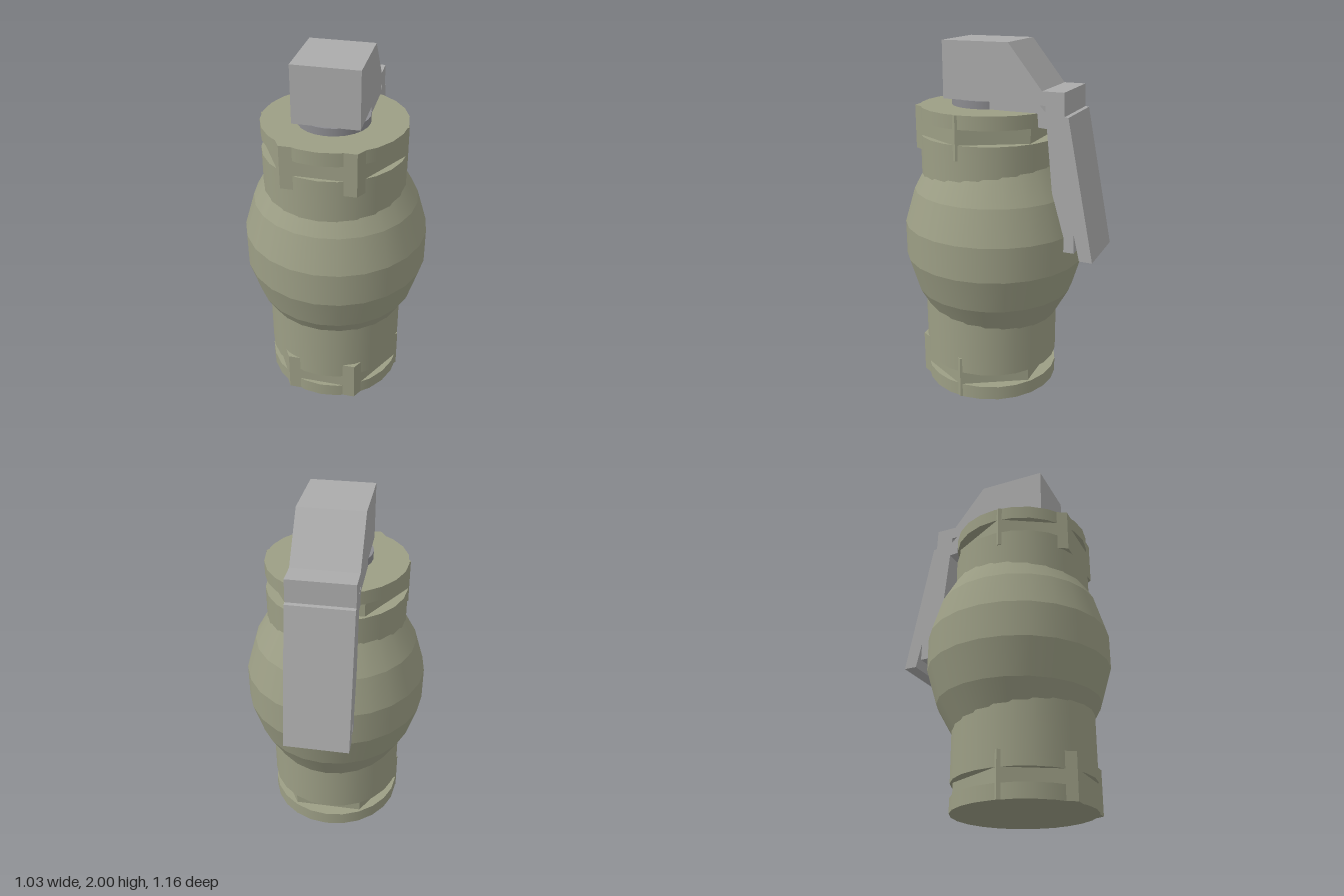
import * as THREE from 'three';

export function createModel() {
  const model = new THREE.Group();
  const material = (name, color) => {
    const m = new THREE.MeshStandardMaterial({ color });
    m.name = name;
    return m;
  };
  const olive = material('olive paint', 0x9c9e85);
  const steel = material('light steel', 0xababab);
  const darkSteel = material('dark steel', 0x8c8c90);

  const add = (name, geometry, mat) => {
    const mesh = new THREE.Mesh(geometry, mat);
    mesh.name = name;
    model.add(mesh);
    return mesh;
  };
  // Upright ring or drum between two heights
  const drum = (name, y0, y1, r0, r1, z, mat, sides = 24, open = false, start = 0) => {
    let g = new THREE.CylinderGeometry(r1, r0, y1 - y0, sides, 1, open, start);
    if (sides < 12) {
      g = g.toNonIndexed();
      g.computeVertexNormals();
    }
    return add(name, g.translate(0, (y0 + y1) / 2, z), mat);
  };

  // Straight body and its two end plates, separated by grooves
  const bodyZ = 0.09, bodyR = 0.39;
  drum('bottomPlate', 0, 0.08, bodyR, bodyR, bodyZ, olive);
  drum('bodyTube', 0.157, 1.49, bodyR, bodyR, bodyZ, olive);
  drum('topPlate', 1.573, 1.648, bodyR, bodyR, bodyZ, olive);

  // Hexagonal cores fill the grooves; their corners show as ribs
  drum('bottomHexCore', 0, 0.245, 0.395, 0.395, 0.113, olive, 6, false, Math.PI / 6);
  drum('topHexCore', 1.408, 1.648, 0.395, 0.395, 0.113, olive, 6, false, Math.PI / 6);

  // Faceted bulge made of bands, creased where they meet
  const bands = [[0.43, 0.365], [0.595, 0.457], [0.79, 0.515], [0.985, 0.515], [1.18, 0.457], [1.345, 0.365]];
  for (let i = 0; i < bands.length - 1; i++) {
    const [y0, r0] = bands[i], [y1, r1] = bands[i + 1];
    drum('bulgeBand' + (i + 1), y0, y1, r0, r1, 0.065, olive, 24, true);
  }

  // Neck disc under the head
  drum('neckDisc', 1.64, 1.69, 0.195, 0.195, 0.11, darkSteel);

  // Side profiles (z, y) extruded across the width
  const width = 0.354;
  const extrudeSide = (name, points, holes = []) => {
    const path = pts => pts.map(([z, y]) => new THREE.Vector2(z, y));
    const shape = new THREE.Shape(path(points));
    holes.forEach(h => shape.holes.push(new THREE.Path(path(h))));
    const g = new THREE.ExtrudeGeometry(shape, { depth: width, bevelEnabled: false });
    g.translate(0, 0, -width / 2).rotateY(-Math.PI / 2);
    add(name, g, steel);
  };

  // Head block with sloped back and hinge gap
  extrudeSide('head', [
    [0.29, 2], [-0.09, 2], [-0.28, 1.763], [-0.4, 1.763], [-0.405, 1.64],
    [-0.31, 1.57], [-0.26, 1.575], [-0.258, 1.645], [0.015, 1.65], [0.015, 1.69], [0.29, 1.69],
  ], [[[-0.268, 1.69], [-0.3, 1.69], [-0.3, 1.657]]]);

  // Long safety lever with a notch at its lower end
  extrudeSide('lever', [
    [-0.405, 1.64], [-0.425, 1.637], [-0.58, 0.865], [-0.507, 0.865], [-0.473, 1.01],
    [-0.475, 0.905], [-0.417, 0.905], [-0.417, 0.985], [-0.345, 1.23], [-0.31, 1.57],
  ]);

  return model;
}
